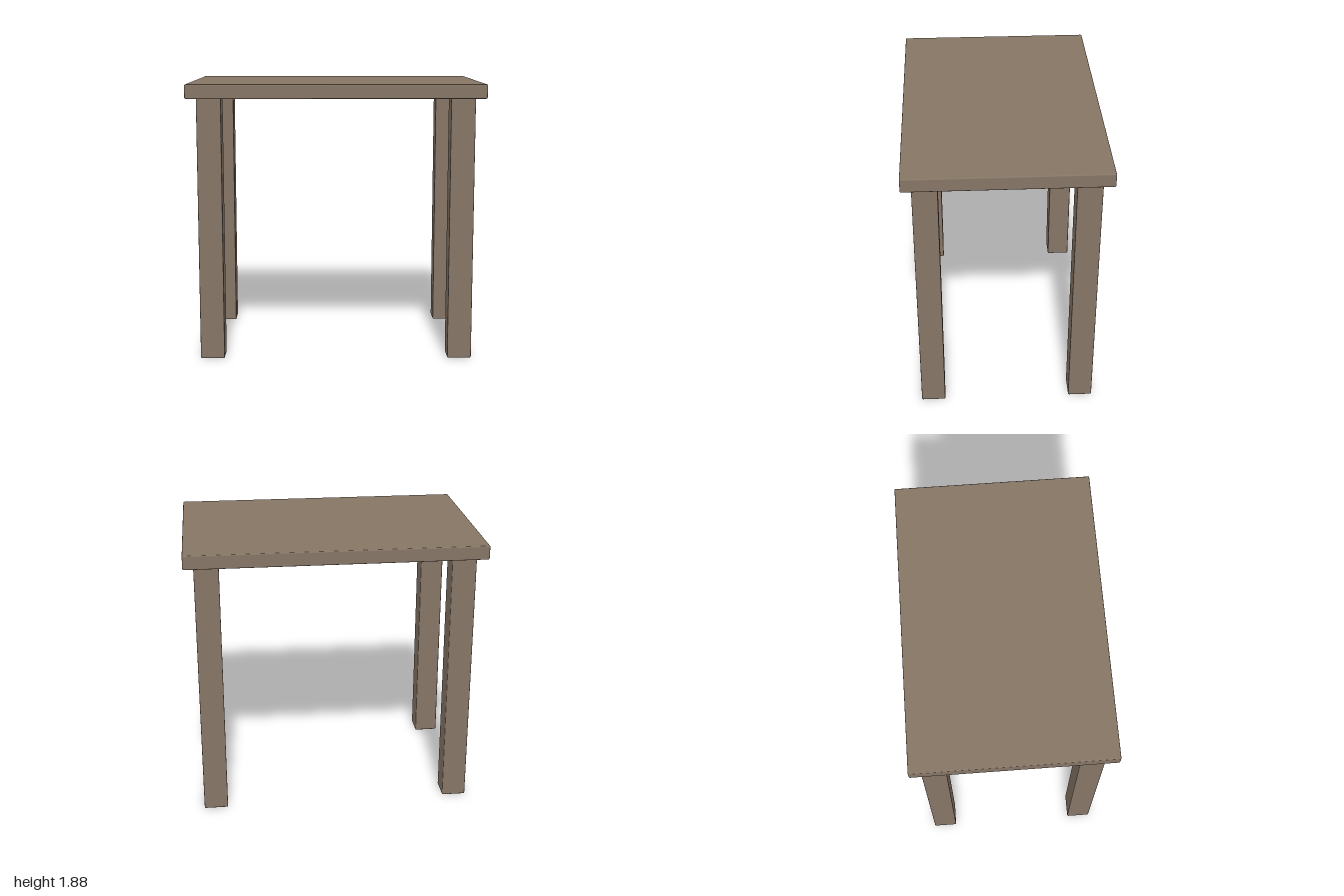
import * as THREE from 'three';
import { RoundedBoxGeometry } from 'three/addons/geometries/RoundedBoxGeometry.js';

const TOP_Y = 1.883, TOP_THICKNESS = 0.095, EDGE = 0.008;
const LEG_HEIGHT = TOP_Y - TOP_THICKNESS, LEG_WIDTH = 0.164;

export function createModel() {
  const table = new THREE.Group();
  table.name = 'table';
  const wood = new THREE.MeshStandardMaterial({ color: 0x857565 });

  // Box with slightly softened edges, standing on height y
  function addBlock(name, w, h, d, x, y, z) {
    const mesh = new THREE.Mesh(new RoundedBoxGeometry(w, h, d, 2, EDGE), wood);
    mesh.name = name;
    mesh.position.set(x, y + h / 2, z);
    table.add(mesh);
  }

  // Table top
  addBlock('tableTop', 2, TOP_THICKNESS, 1.33, 0, LEG_HEIGHT, 0);

  // Four square legs, set in from the corners
  for (const [side, sx] of [['Left', 1], ['Right', -1]]) {
    for (const [end, sz] of [['front', 1], ['back', -1]]) {
      addBlock(`${end}${side}Leg`, LEG_WIDTH, LEG_HEIGHT, LEG_WIDTH, sx * 0.85, 0, sz * 0.517);
    }
  }
  return table;
}
